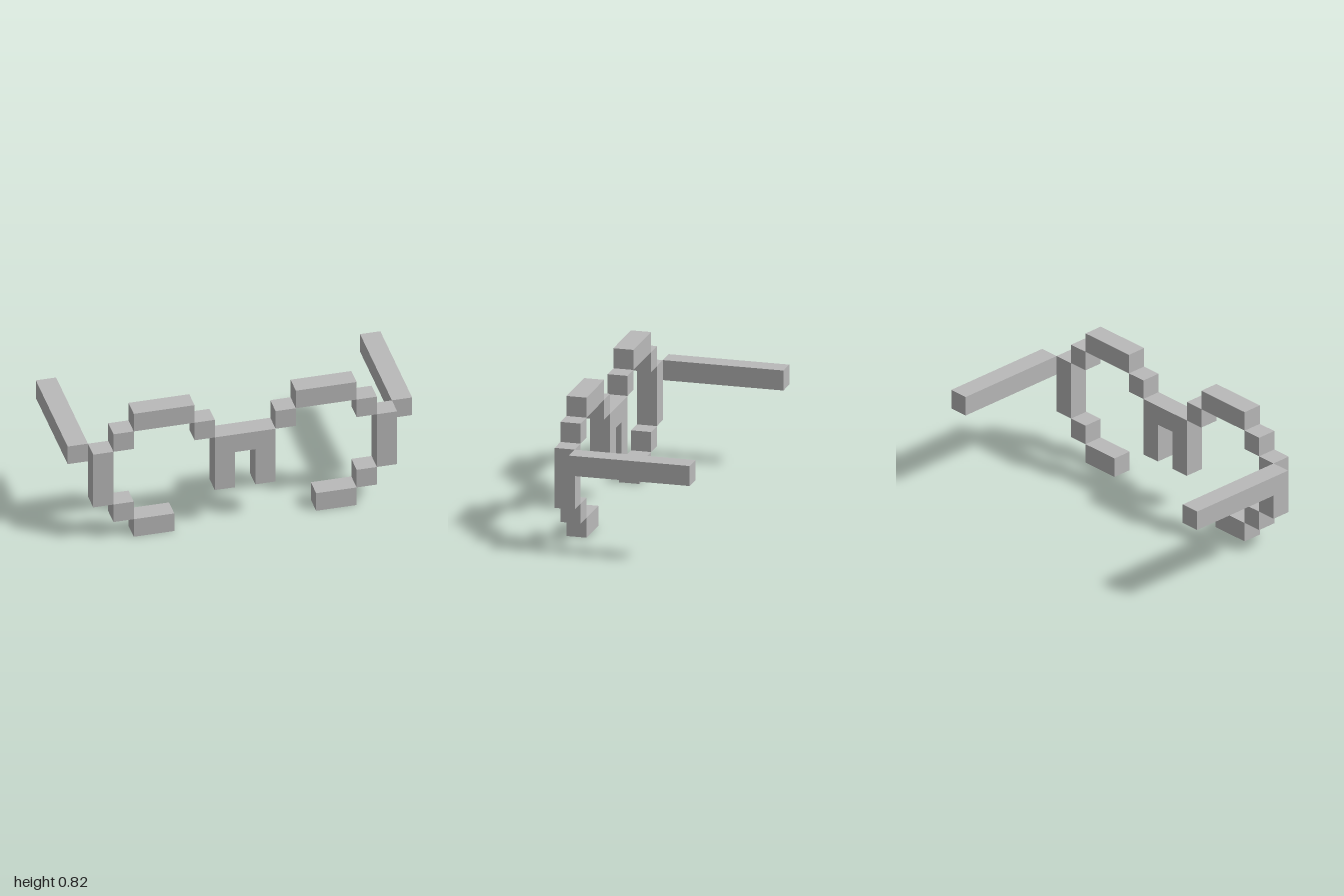
import * as THREE from 'three';

// One block of the pixel grid; the frame is 17 blocks wide
const U = 2 / 17;

export function createModel() {
  const model = new THREE.Group();
  model.name = 'pixelGlasses';
  const grey = new THREE.MeshStandardMaterial({ color: 0xbababa });
  grey.name = 'frameGrey';

  // Box given by its limits in blocks
  function block(name, x0, x1, y0, y1, z0 = 2.5, z1 = 3.5) {
    const geometry = new THREE.BoxGeometry((x1 - x0) * U, (y1 - y0) * U, (z1 - z0) * U);
    const mesh = new THREE.Mesh(geometry, grey);
    mesh.position.set((x0 + x1) / 2 * U, (y0 + y1) / 2 * U, (z0 + z1) / 2 * U);
    mesh.name = name;
    model.add(mesh);
  }

  // Parts of one rim and its temple arm: x0, x1, y0, y1, z0, z1
  const side = {
    BottomBar: [3.5, 5.5, 0, 1],
    LowerStep: [5.5, 6.5, 1, 2],
    OuterPost: [6.5, 7.5, 2, 5],
    OuterStep: [5.5, 6.5, 5, 6],
    TopBar: [2.5, 5.5, 6, 7],
    InnerStep: [1.5, 2.5, 5, 6],
    TempleArm: [7.5, 8.5, 4, 5, -3.5, 2.5],
  };
  for (const [part, [x0, x1, ...rest]] of Object.entries(side)) {
    block('left' + part, x0, x1, ...rest);
    block('right' + part, -x1, -x0, ...rest);
  }

  // Nose bridge: an arch with two legs
  const outline = [[-1.5, 2], [-0.5, 2], [-0.5, 4], [0.5, 4], [0.5, 2], [1.5, 2], [1.5, 5], [-1.5, 5]];
  const shape = new THREE.Shape(outline.map(([x, y]) => new THREE.Vector2(x * U, y * U)));
  const bridge = new THREE.Mesh(
    new THREE.ExtrudeGeometry(shape, { depth: U, bevelEnabled: false }), grey);
  bridge.position.z = 2.5 * U;
  bridge.name = 'noseBridge';
  model.add(bridge);

  return model;
}
